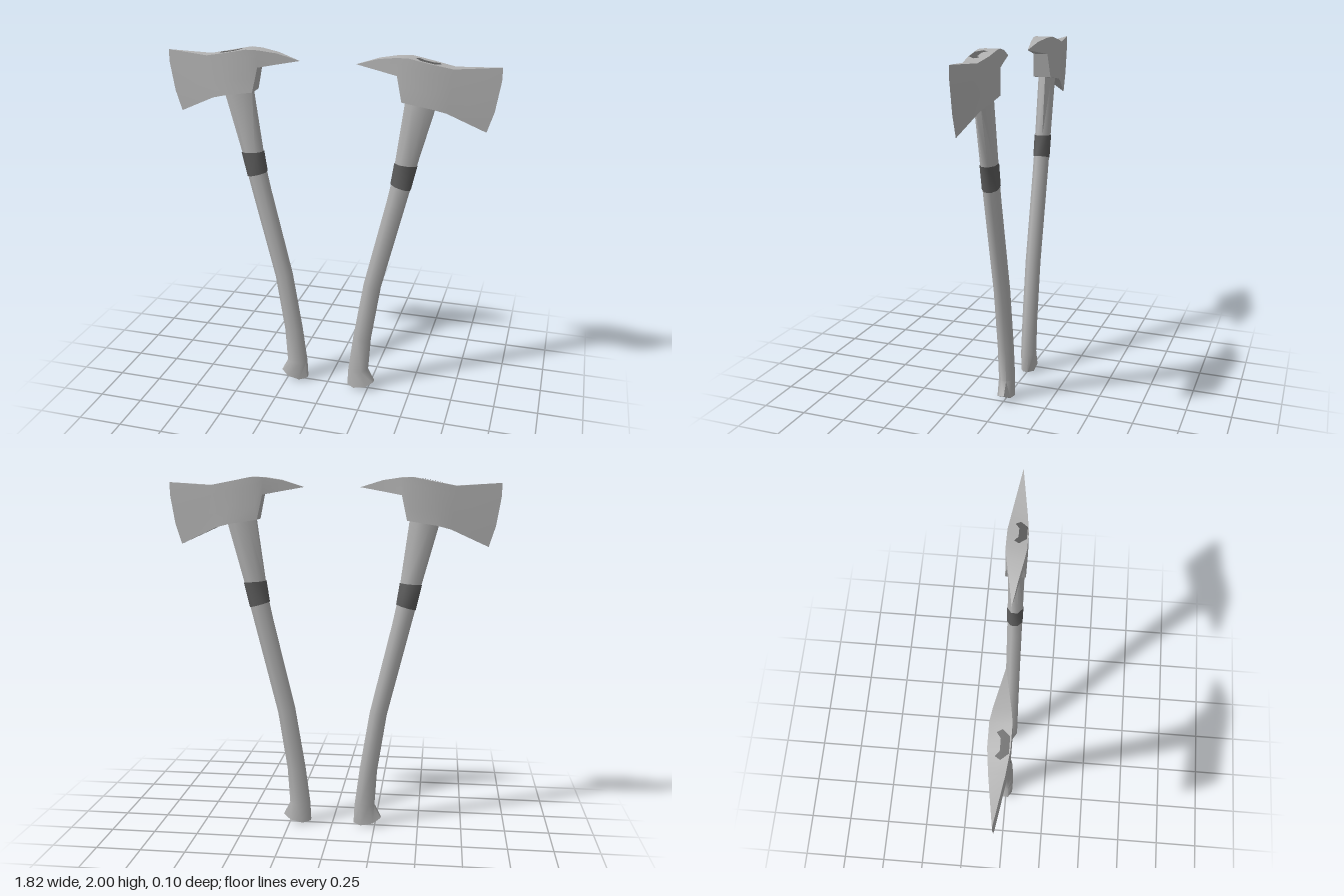
import * as THREE from 'three';
import { toCreasedNormals } from 'three/addons/utils/BufferGeometryUtils.js';

// Skins a list of closed cross-sections; side -1 gives the mirror image.
function loft(rings, side, crease) {
  const n = rings[0].length, pos = [], index = [];
  rings.forEach(r => r.forEach(([x, y, z]) => pos.push(x * side, y, z)));
  const tri = (a, b, c) => side > 0 ? index.push(a, b, c) : index.push(a, c, b);
  for (let i = 0; i < rings.length - 1; i++) {
    for (let j = 0; j < n; j++) {
      const a = i * n + j, b = i * n + (j + 1) % n;
      tri(a, b, a + n);
      tri(b, b + n, a + n);
    }
  }
  const g = new THREE.BufferGeometry();
  g.setAttribute('position', new THREE.Float32BufferAttribute(pos, 3));
  g.setIndex(index);
  return toCreasedNormals(g, crease);
}

// Eight-sided handle section between a left and a right edge point.
const OCTAGON = [[0, 0.015], [0.275, 0.04], [0.725, 0.04], [1, 0.015],
  [1, -0.015], [0.725, -0.04], [0.275, -0.04], [0, -0.015]];
function handleRing([lx, ly, rx, ry], grow = 0, sag = 0) {
  return OCTAGON.map(([t, z]) => [
    THREE.MathUtils.lerp(lx - grow, rx + grow, t),
    THREE.MathUtils.lerp(ly, ry, t) - (t > 0 && t < 1 ? sag : 0),
    z + Math.sign(z) * grow,
  ]);
}

// Handle edges, from the foot to inside the head: left x, y, right x, y
const HANDLE = [
  [0.127, 0.015, 0.285, 0.05],
  [0.132, 0.12, 0.247, 0.125],
  [0.16, 0.34, 0.26, 0.33],
  [0.217, 0.69, 0.312, 0.67],
  [0.337, 1.2, 0.44, 1.19],
  [0.36, 1.31, 0.462, 1.28],
  [0.378, 1.43, 0.494, 1.42],
  [0.423, 1.77, 0.58, 1.74],
  [0.45, 1.95, 0.61, 1.93],
];

// Head stations from spike to blade: top x, y, bottom x, y, half thickness
const HEAD = [
  [0.155, 1.946, 0.155, 1.945, 0],
  [0.275, 1.983, 0.275, 1.924, 0.022],
  [0.375, 1.998, 0.38, 1.905, 0.042],
  [0.44, 2.0, 0.41, 1.77, 0.052],
  [0.555, 1.977, 0.57, 1.745, 0.052],
  [0.67, 1.955, 0.645, 1.725, 0.038],
  [0.91, 1.97, 0.85, 1.63, 0],
];
const ROWS = [[0, 0], [0.2, 0.012], [0.67, 0.015], [1, 0]]; // height share, edge bulge

function headRing([tx, ty, bx, by, h], i) {
  const front = ROWS.map(([t, bulge]) => [
    THREE.MathUtils.lerp(tx, bx, t) + (i === HEAD.length - 1 ? bulge : 0),
    THREE.MathUtils.lerp(ty, by, t), h]);
  return [...front, ...front.map(([x, y, z]) => [x, y, -z]).reverse()];
}

function makeAxe(side, mats) {
  const axe = new THREE.Group();
  const add = (name, geometry, mat) => {
    const mesh = new THREE.Mesh(geometry, mat);
    mesh.name = name;
    axe.add(mesh);
  };

  // Handle with a pointed foot
  const foot = OCTAGON.map(() => [0.2, 0, 0]);
  const rings = HANDLE.map((s, i) => handleRing(s, 0, i === 0 ? 0.016 : 0));
  add('handle', loft([foot, ...rings], side, 1.0), mats.steel);

  // Dark grip band around the handle
  add('band', loft([handleRing(HANDLE[5], 0.003), handleRing(HANDLE[6], 0.003)], side, 1.0), mats.dark);

  // Head: spike, poll and blade in one piece
  add('head', loft(HEAD.map(headRing), side, 0.5), mats.steel);

  // Crescent end of the handle showing in the top of the head
  const eye = new THREE.Shape([[0.47, 0.01], [0.485, -0.015], [0.51, 0.005], [0.565, 0.005],
    [0.59, -0.015], [0.605, 0.01], [0.575, 0.046], [0.5, 0.046]].map(([x, z]) => new THREE.Vector2(x * side, -z)));
  const plate = new THREE.ShapeGeometry(eye).rotateX(-Math.PI / 2);
  const p = plate.attributes.position;
  for (let i = 0; i < p.count; i++) {
    const x = Math.abs(p.getX(i));
    const y = x < 0.555 ? 2 - (x - 0.44) * 0.2 : 1.977 - (x - 0.555) * 0.19;
    p.setY(i, y + 0.003);
  }
  plate.computeVertexNormals();
  add('eyePlate', plate, mats.dark);
  return axe;
}

export function createModel() {
  const mats = {
    steel: new THREE.MeshStandardMaterial({ color: 0xb2b2b2 }),
    dark: new THREE.MeshStandardMaterial({ color: 0x5c5c5c }),
  };
  mats.steel.name = 'light grey';
  mats.dark.name = 'dark grey';

  const model = new THREE.Group();
  model.name = 'axePair';
  for (const [name, side] of [['leftAxe', 1], ['rightAxe', -1]]) {
    const axe = makeAxe(side, mats);
    axe.name = name;
    model.add(axe);
  }
  return model;
}
